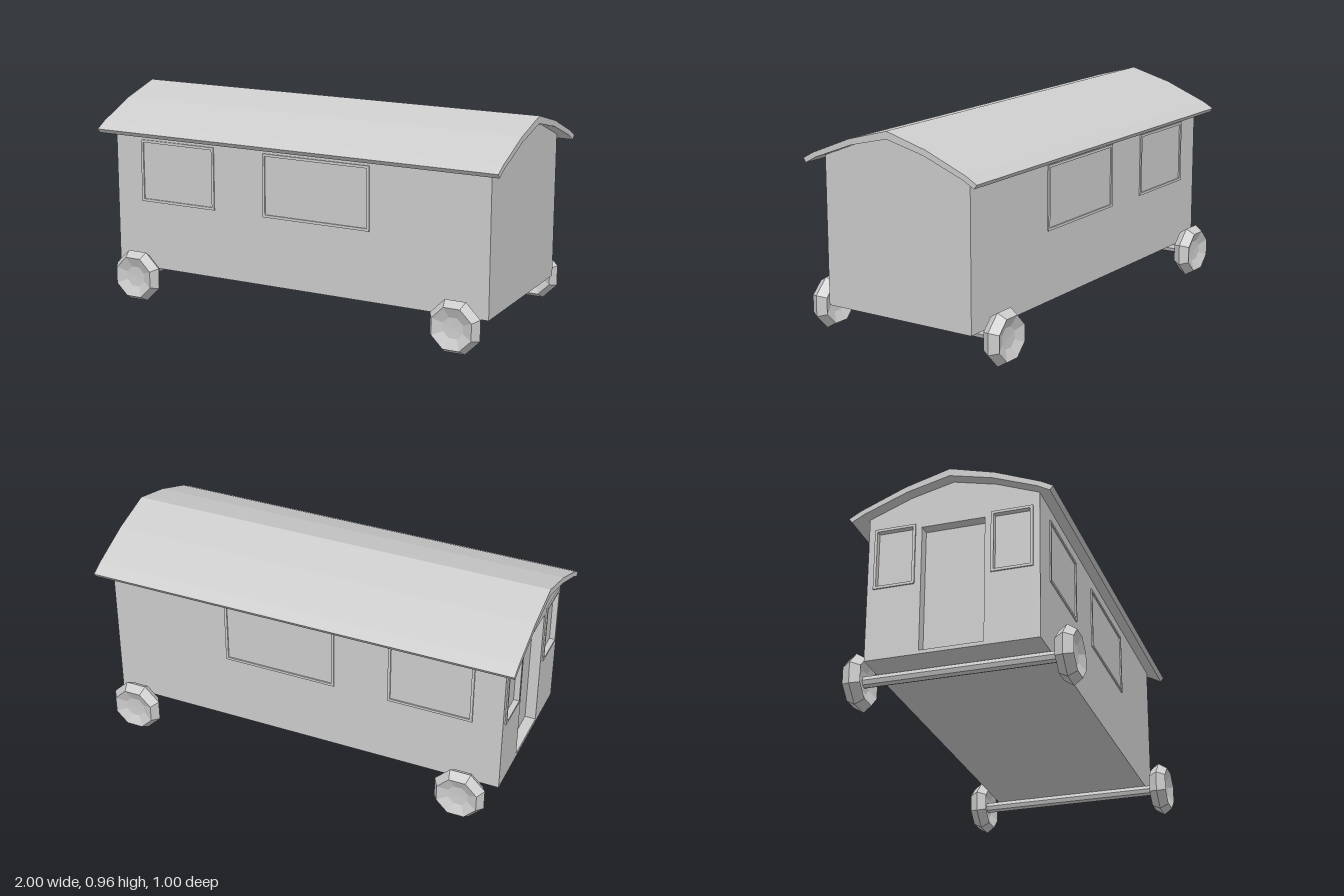
import * as THREE from 'three';

const grey = new THREE.MeshStandardMaterial({ color: 0xcccccc });
grey.name = 'plainGrey';

function add(group, name, geometry, x = 0, y = 0, z = 0) {
  const mesh = new THREE.Mesh(geometry, grey);
  mesh.name = name;
  mesh.position.set(x, y, z);
  group.add(mesh);
  return mesh;
}

const polygon = (pts) => new THREE.Shape(pts.map(([a, b]) => new THREE.Vector2(a, b)));
const rectangle = (a0, b0, a1, b1) => [[a0, b0], [a1, b0], [a1, b1], [a0, b1]];
const extrude = (shape, depth) => new THREE.ExtrudeGeometry(shape, { depth, bevelEnabled: false });
// Cross-section in (z, y), extruded along +x
const extrudeX = (shape, depth) => extrude(shape, depth).rotateY(Math.PI / 2);

// Thin rectangular border around an opening
function frameShape(a0, b0, a1, b1, w) {
  const shape = polygon(rectangle(a0 - w, b0 - w, a1 + w, b1 + w));
  shape.holes.push(polygon(rectangle(a0, b0, a1, b1)));
  return shape;
}

export function createModel() {
  const wagon = new THREE.Group();
  wagon.name = 'wagon';

  // Body with a gabled cross-section
  const section = () => polygon([[-0.38, 0.138], [0.38, 0.138], [0.38, 0.806],
    [0.19, 0.88], [0, 0.926], [-0.19, 0.88], [-0.38, 0.806]]);
  add(wagon, 'body', extrudeX(section(), 1.838), -0.895);

  // Entrance wall with a door recess and two small window openings
  const wall = section();
  wall.holes.push(polygon(rectangle(-0.14, 0.155, 0.14, 0.73)));
  const endWindows = [[-0.34, -0.18], [0.18, 0.34]];
  for (const [a, b] of endWindows) wall.holes.push(polygon(rectangle(a, 0.477, b, 0.737)));
  add(wagon, 'entranceWall', extrudeX(wall, 0.05), -0.945);
  for (const [a, b] of endWindows) {
    add(wagon, 'endWindowPane', new THREE.BoxGeometry(0.03, 0.26, b - a), -0.91, 0.607, (a + b) / 2);
    add(wagon, 'endWindowFrame', extrudeX(frameShape(a, 0.477, b, 0.737, 0.012), 0.007), -0.951);
  }

  // Long side windows
  for (const [a, b] of [[-0.795, -0.425], [-0.145, 0.365]]) {
    for (const z of [0.38, -0.386]) {
      add(wagon, 'sideWindowFrame', extrude(frameShape(a, 0.47, b, 0.738, 0.012), 0.006), 0, 0, z);
    }
  }

  // Faceted roof with overhanging eaves
  const top = [[0, 0.96], [0.2, 0.905], [0.4, 0.824], [0.454, 0.794]];
  const under = [[0.44, 0.775], [0.385, 0.805], [0.19, 0.88], [0, 0.926]];
  const half = [...top, ...under];
  const mirrored = half.slice(1, -1).reverse().map(([z, y]) => [-z, y]);
  add(wagon, 'roof', extrudeX(polygon([...half, ...mirrored]), 2), -1);

  // Axles and dished eight-sided wheels
  const profile = [[0, -0.018], [0.05, -0.02], [0.1, -0.04], [0.126, 0],
    [0.1, 0.04], [0.05, 0.02], [0, 0.018]].map(([r, h]) => new THREE.Vector2(r, h));
  const wheel = new THREE.LatheGeometry(profile, 8).rotateY(Math.PI / 8).rotateX(Math.PI / 2).toNonIndexed();
  wheel.computeVertexNormals();
  const axle = new THREE.CylinderGeometry(0.026, 0.026, 0.88, 8).rotateX(Math.PI / 2).toNonIndexed();
  axle.computeVertexNormals();
  for (const x of [-0.792, 0.823]) {
    add(wagon, 'axle', axle, x, 0.1165);
    for (const z of [-0.46, 0.46]) add(wagon, 'wheel', wheel, x, 0.1165, z);
  }
  return wagon;
}
